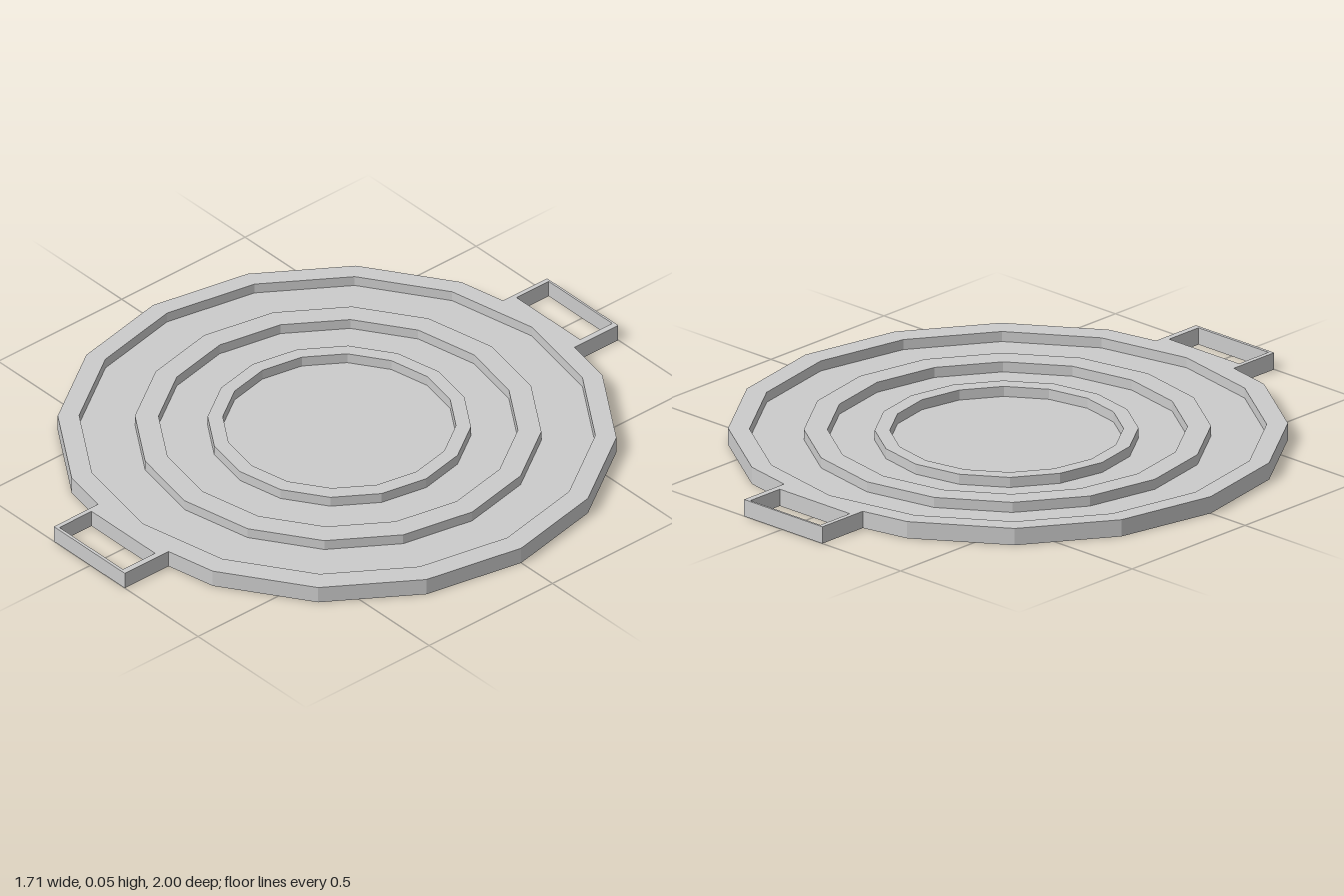
import * as THREE from 'three';

const SIDES = 16;
const FLOOR = 0.022; // top of the tray floor
const TOP = 0.055; // top of rim, ridges and handles

// regular polygon in plan, centred on (x, z)
function polygon(r, x, z) {
  return Array.from({ length: SIDES }, (_, i) => {
    const a = (i / SIDES) * Math.PI * 2;
    return new THREE.Vector2(x + r * Math.cos(a), -z + r * Math.sin(a));
  });
}

function rectangle(x0, x1, z0, z1) {
  return [[x0, -z1], [x1, -z1], [x1, -z0], [x0, -z0]].map(([x, y]) => new THREE.Vector2(x, y));
}

export function createModel() {
  const group = new THREE.Group();
  const material = new THREE.MeshStandardMaterial({ color: 0xcccccc, flatShading: true });

  // plan outline, with an optional hole, raised from y0 to y1
  function addSlab(name, outline, hole, y0, y1) {
    const shape = new THREE.Shape(outline);
    if (hole) shape.holes.push(new THREE.Path(hole));
    const geometry = new THREE.ExtrudeGeometry(shape, { depth: y1 - y0, bevelEnabled: false });
    geometry.rotateX(-Math.PI / 2).translate(0, y0, 0);
    const mesh = new THREE.Mesh(geometry, material);
    mesh.name = name;
    group.add(mesh);
  }

  // floor and outer rim
  const rimInner = polygon(0.79, -0.005, -0.005);
  addSlab('trayFloor', rimInner, null, 0, FLOOR);
  addSlab('outerRim', polygon(0.855, 0, 0), rimInner, 0, TOP);

  // raised rings, slightly off centre
  addSlab('middleRidge', polygon(0.622, -0.01, -0.013), polygon(0.55, -0.012, -0.015), FLOOR, TOP);
  addSlab('innerRidge', polygon(0.403, -0.016, -0.023), polygon(0.357, -0.018, -0.025), FLOOR, TOP);

  // open rectangular handles, run into the rim
  addSlab('frontHandle', rectangle(-0.17, 0.16, 0.81, 1), rectangle(-0.155, 0.14, 0.86, 0.99), 0, TOP);
  addSlab('backHandle', rectangle(-0.17, 0.16, -1, -0.81), rectangle(-0.155, 0.14, -0.993, -0.863), 0, TOP);

  return group;
}
